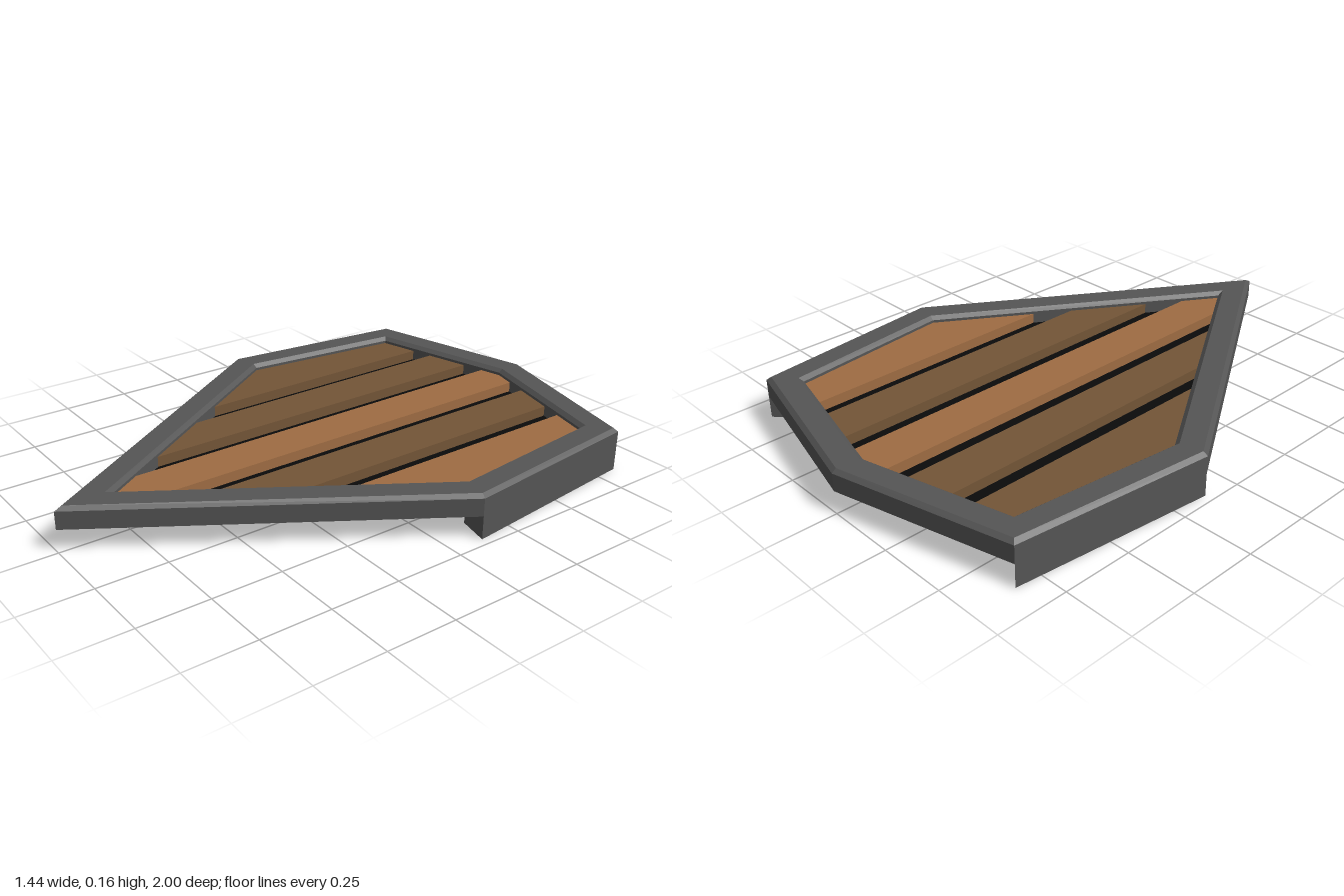
import * as THREE from 'three';

// Kite-shaped outline in plan, as [x, z], starting at the back peak
const OUTLINE = [[0, -1], [0.64, -0.84], [0.72, -0.12], [0, 1], [-0.72, -0.12], [-0.64, -0.84]];
const RIM = 0.108, BEVEL = 0.015;
const Y_BASE = 0.083, Y_BEVEL = 0.147, Y_TOP = 0.16;

const material = (color) => new THREE.MeshStandardMaterial({ color, flatShading: true });
const steel = material(0x555555);
const black = material(0x0b0b0b);
const darkWood = material(0x735537);
const lightWood = material(0x9e6c43);

// Outline moved inward by d with mitred corners
function inset(d) {
  const n = OUTLINE.length;
  const normal = (i) => {
    const a = OUTLINE[i % n], b = OUTLINE[(i + 1) % n];
    return new THREE.Vector2(a[1] - b[1], b[0] - a[0]).normalize();
  };
  return OUTLINE.map(([x, z], i) => {
    const n1 = normal(i + n - 1), n2 = normal(i);
    const k = d / (1 + n1.dot(n2));
    return [x + (n1.x + n2.x) * k, z + (n1.y + n2.y) * k];
  });
}

// Keep the part of a polygon where sign * x >= sign * limit
function clip(points, limit, sign) {
  const out = [];
  points.forEach((a, i) => {
    const b = points[(i + 1) % points.length];
    const da = sign * (a[0] - limit), db = sign * (b[0] - limit);
    if (da >= 0) out.push(a);
    if (da * db < 0) {
      const t = da / (da - db);
      out.push([limit, a[1] + (b[1] - a[1]) * t]);
    }
  });
  return out;
}

// Upright prism over a plan polygon
function prism(name, points, y0, y1, mat) {
  const shape = new THREE.Shape(points.map(([x, z]) => new THREE.Vector2(x, -z)));
  const geo = new THREE.ExtrudeGeometry(shape, { depth: y1 - y0, bevelEnabled: false });
  geo.rotateX(-Math.PI / 2).translate(0, y0, 0);
  const mesh = new THREE.Mesh(geo, mat);
  mesh.name = name;
  return mesh;
}

// Rim: a bevelled section swept round the outline
function rim() {
  const section = [[0, Y_BASE], [0, Y_BEVEL], [BEVEL, Y_TOP],
    [RIM - BEVEL, Y_TOP], [RIM, Y_BEVEL], [RIM, Y_BASE]];
  const rings = section.map(([d, y]) => inset(d).map(([x, z]) => [x, y, z]));
  const pos = [];
  rings.forEach((ring, r) => {
    const next = rings[(r + 1) % rings.length];
    ring.forEach((a0, i) => {
      const j = (i + 1) % ring.length;
      pos.push(...a0, ...next[i], ...next[j], ...a0, ...next[j], ...ring[j]);
    });
  });
  const geo = new THREE.BufferGeometry();
  geo.setAttribute('position', new THREE.Float32BufferAttribute(pos, 3));
  geo.computeVertexNormals();
  const mesh = new THREE.Mesh(geo, steel);
  mesh.name = 'rim';
  return mesh;
}

export function createModel() {
  const model = new THREE.Group();
  model.name = 'plankedPanel';
  const inner = inset(RIM);

  model.add(rim());
  model.add(prism('backing', inner, Y_BASE, 0.1, black));

  // Planks with open gaps between them, cut to the inside of the rim
  const planks = new THREE.Group();
  planks.name = 'planks';
  const spans = [[-0.7, -0.4, darkWood], [-0.32, -0.16, darkWood], [-0.08, 0.08, lightWood],
    [0.16, 0.32, darkWood], [0.4, 0.7, lightWood]];
  spans.forEach(([x0, x1, mat], i) => {
    planks.add(prism(`plank${i + 1}`, clip(clip(inner, x0, 1), x1, -1), 0.1, 0.137, mat));
  });
  model.add(planks);

  // Mitred feet under the two upper sides
  [['leftFoot', 1, 2], ['rightFoot', 4, 5]].forEach(([name, a, b]) => {
    model.add(prism(name, [OUTLINE[a], OUTLINE[b], inner[b], inner[a]], 0, Y_BASE, steel));
  });
  return model;
}
